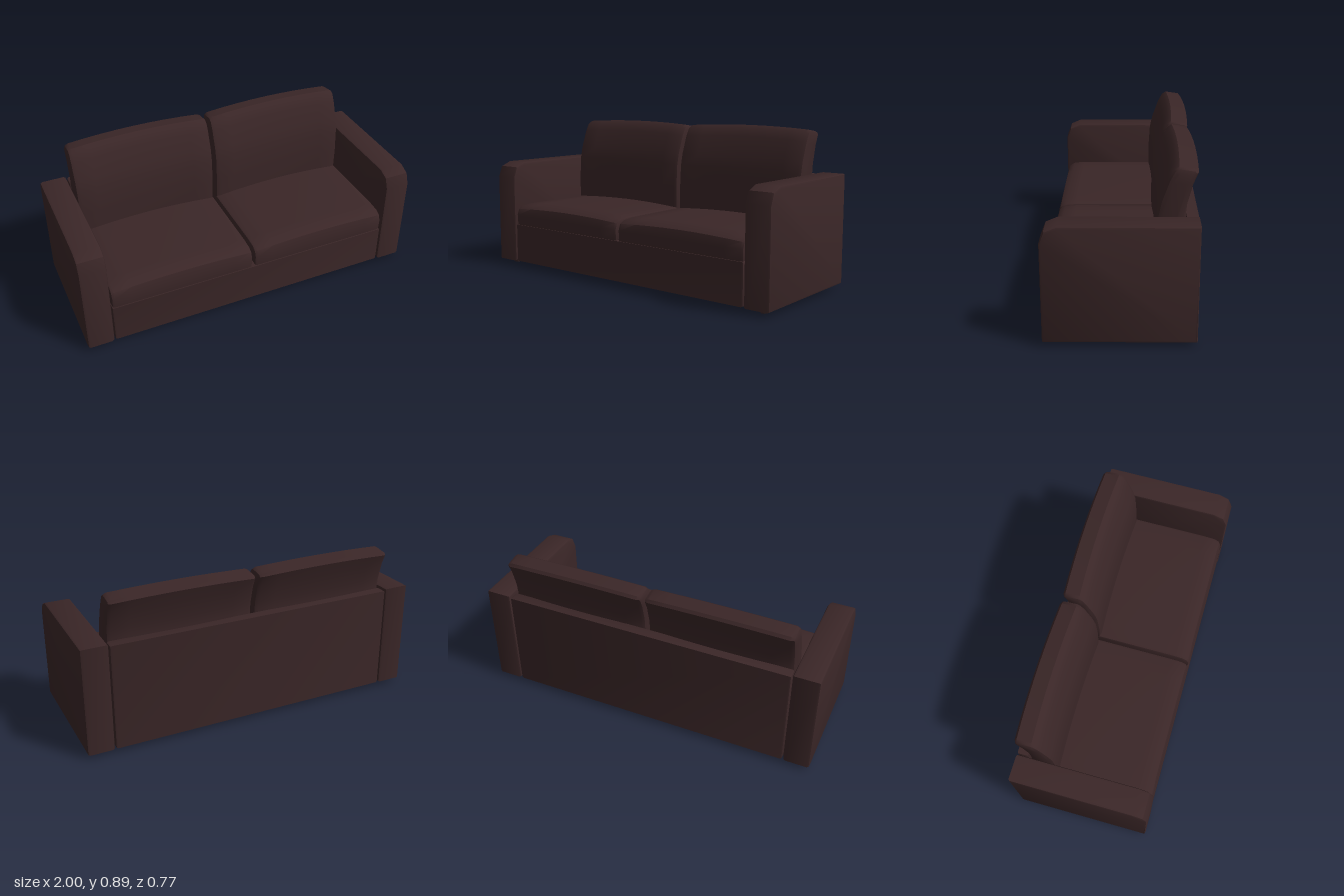
import * as THREE from 'three';
import { toCreasedNormals } from 'three/addons/utils/BufferGeometryUtils.js';

const leather = new THREE.MeshStandardMaterial({ color: 0x3a2627 });
leather.name = 'dark brown leather';

// Extrude a [z, y] side profile across x, with softened edges and an optional bend
function padded(name, profile, width, x, bevel, bend) {
  const shape = new THREE.Shape(profile.map(([z, y]) => new THREE.Vector2(z, y)));
  const depth = width - 2 * bevel;
  let geo = new THREE.ExtrudeGeometry(shape, {
    depth, steps: bend ? 8 : 1, bevelEnabled: true, bevelThickness: bevel,
    bevelSize: bevel, bevelOffset: -bevel, bevelSegments: 2,
  });
  geo.translate(0, 0, -depth / 2).rotateY(-Math.PI / 2);
  if (bend) {
    const p = geo.attributes.position;
    const v = new THREE.Vector3();
    for (let i = 0; i < p.count; i++) {
      v.fromBufferAttribute(p, i);
      const u = v.x / (width / 2);
      bend(v, 1 - u * u);
      p.setXYZ(i, v.x, v.y, v.z);
    }
  }
  geo = toCreasedNormals(geo, 0.7);
  const mesh = new THREE.Mesh(geo, leather);
  mesh.name = name;
  mesh.position.x = x;
  return mesh;
}

const box = (z0, z1, y0, y1) => [[z0, y0], [z1, y0], [z1, y1], [z0, y1]];

export function createModel() {
  const sofa = new THREE.Group();
  sofa.name = 'sofa';

  // Base and full-height back panel
  sofa.add(padded('base', box(-0.33, 0.382, 0.028, 0.258), 1.688, 0, 0.012));
  sofa.add(padded('backPanel', box(-0.382, -0.322, 0.028, 0.63), 1.688, 0, 0.012));

  const armProfile = [
    [-0.382, 0.026], [0.386, 0.026], [0.386, 0.55], [0.361, 0.614], [0.3, 0.64], [-0.382, 0.64],
  ];
  const seatProfile = [
    [-0.32, 0.255], [0.376, 0.255], [0.38, 0.32], [0.367, 0.355], [0.335, 0.374],
    [0.27, 0.38], [-0.32, 0.38],
  ];
  const backProfile = [
    [-0.32, 0.34], [-0.172, 0.34], [-0.17, 0.5], [-0.178, 0.64], [-0.193, 0.71],
    [-0.231, 0.815], [-0.256, 0.862], [-0.28, 0.878], [-0.362, 0.866],
    [-0.374, 0.85], [-0.348, 0.79], [-0.322, 0.69], [-0.317, 0.64],
  ];

  for (const side of [-1, 1]) {
    const label = side > 0 ? 'left' : 'right';
    sofa.add(padded(label + 'Arm', armProfile, 0.152, side * 0.924, 0.014));

    // Seat cushion with a gentle crown
    sofa.add(padded(label + 'SeatCushion', seatProfile, 0.834, side * 0.424, 0.016, (v, k) => {
      if (v.y > 0.33) v.y += 0.015 * k;
    }));

    // Back cushion, bowed backwards and arched along its top
    sofa.add(padded(label + 'BackCushion', backProfile, 0.834, side * 0.424, 0.025, (v, k) => {
      v.z -= 0.012 * k;
      if (v.y > 0.8) v.y += 0.014 * k;
    }));

    // Tapered feet under the arms
    for (const z of [0.311, -0.306]) {
      const foot = new THREE.Mesh(
        toCreasedNormals(new THREE.CylinderGeometry(0.024, 0.015, 0.03, 10), 0.8), leather);
      foot.name = label + (z > 0 ? 'FrontFoot' : 'BackFoot');
      foot.position.set(side * 0.922, 0.015, z);
      sofa.add(foot);
    }
  }
  return sofa;
}
